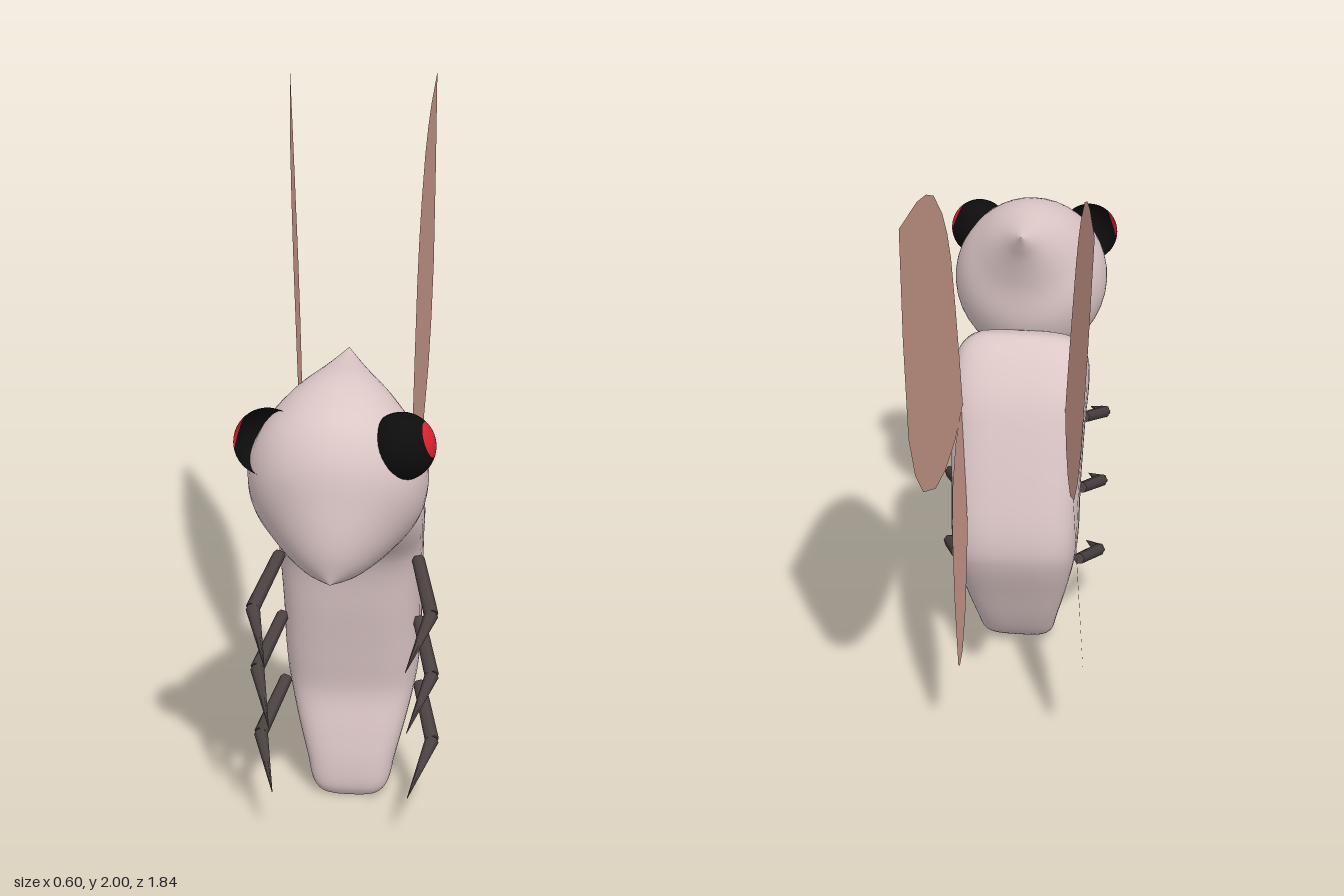
import * as THREE from 'three';

const MID = 0.018; // x of the body's plane of symmetry

const paint = (name, color, extra = {}) =>
  Object.assign(new THREE.MeshStandardMaterial({ color, ...extra }), { name });

function part(name, geometry, material) {
  const mesh = new THREE.Mesh(geometry, material);
  mesh.name = name;
  return mesh;
}

// Smooth skin over stations [frontZ, frontY, backZ, backY, halfWidth];
// power below 1 squares off the cross-section
function loft(stations, power, rings, sides) {
  const front = new THREE.CatmullRomCurve3(stations.map(s => new THREE.Vector3(s[4], s[1], s[0])));
  const back = new THREE.CatmullRomCurve3(stations.map(s => new THREE.Vector3(0, s[3], s[2])));
  const bend = v => Math.sign(v) * Math.abs(v) ** power;
  const positions = [], index = [];
  for (let i = 0; i <= rings; i++) {
    const f = front.getPoint(i / rings), b = back.getPoint(i / rings);
    for (let j = 0; j < sides; j++) {
      const a = (j / sides) * Math.PI * 2;
      const k = 0.5 + bend(Math.sin(a)) / 2;
      positions.push(
        MID + Math.max(f.x, 0) * bend(Math.cos(a)),
        b.y + (f.y - b.y) * k,
        b.z + (f.z - b.z) * k);
      if (i < rings) {
        const p = i * sides + j, q = i * sides + (j + 1) % sides;
        index.push(p, p + sides, q, q, p + sides, q + sides);
      }
    }
  }
  const geometry = new THREE.BufferGeometry();
  geometry.setAttribute('position', new THREE.Float32BufferAttribute(positions, 3));
  geometry.setIndex(index);
  geometry.computeVertexNormals();
  return geometry;
}

// Flat wing from a [z, y] outline, leaning sideways by a along z and b along y
function wingGeometry(outline, x, a, b) {
  const shape = new THREE.Shape(outline.map(p => new THREE.Vector2(p[0], p[1])));
  const geometry = new THREE.ShapeGeometry(shape);
  const pos = geometry.attributes.position;
  for (let i = 0; i < pos.count; i++) {
    const z = pos.getX(i), y = pos.getY(i);
    pos.setXYZ(i, x - a * (0.2 - z) - b * (y - 0.92), y, z);
  }
  geometry.computeVertexNormals();
  return geometry;
}

// Tapered rod from one point to another
function rod(name, from, to, r0, r1, material) {
  const along = to.clone().sub(from);
  const mesh = part(name, new THREE.CylinderGeometry(r1, r0, along.length(), 6), material);
  mesh.position.copy(from).addScaledVector(along, 0.5);
  mesh.quaternion.setFromUnitVectors(new THREE.Vector3(0, 1, 0), along.normalize());
  return mesh;
}

export function createModel() {
  const skin = paint('pale pink skin', 0xdcc6c6);
  const wing = paint('dusty rose wing', 0xd09d8f, { side: THREE.DoubleSide });
  const leg = paint('dark brown leg', 0x4c4242);
  const black = paint('black eye', 0x0d0d0d);
  const red = paint('red pupil', 0xe0202f);

  const model = new THREE.Group();
  model.name = 'insect';

  // Body, from tail to neck
  model.add(part('body', loft([
    [0.35, 0.004, 0.33, 0.004, 0],
    [0.365, 0.008, 0.29, 0.012, 0.085],
    [0.38, 0.04, 0.24, 0.045, 0.115],
    [0.38, 0.12, 0.19, 0.12, 0.135],
    [0.365, 0.22, 0.13, 0.25, 0.165],
    [0.345, 0.335, 0.06, 0.42, 0.195],
    [0.36, 0.45, 0.055, 0.5, 0.205],
    [0.39, 0.62, 0.075, 0.61, 0.207],
    [0.425, 0.8, 0.16, 0.875, 0.215],
    [0.5, 0.9, 0.2, 0.96, 0.22],
    [0.535, 0.955, 0.255, 1.03, 0.215],
    [0.525, 1.01, 0.305, 1.075, 0.195],
    [0.48, 1.06, 0.36, 1.1, 0.14],
    [0.425, 1.088, 0.405, 1.094, 0],
  ], 0.6, 52, 40), skin));

  // Head: a lemon shape; rows are distance from the rear tip, radius, lift
  const headRows = [
    [0.743, 0, 0], [0.69, 0.085, 0], [0.6, 0.172, 0], [0.5, 0.24, 0.006], [0.4, 0.255, 0.015],
    [0.3, 0.222, 0.022], [0.2, 0.15, 0.04], [0.1, 0.07, 0.025], [0.05, 0.034, 0.012], [0, 0, 0],
  ];
  model.add(part('head', loft(headRows.map(([t, r, lift]) => {
    const z = 0.357 + 0.74 * t, y = 1.443 - 0.675 * t;
    const f = lift + r, b = lift - r;
    return [z + 0.675 * f, y + 0.74 * f, z + 0.675 * b, y + 0.74 * b, r * 0.98];
  }), 1, 45, 40), skin));

  // Eyes: a black ball whose outer cap is the red pupil
  const cap = 0.56;
  const turn = new THREE.Quaternion().setFromUnitVectors(
    new THREE.Vector3(0, 1, 0), new THREE.Vector3(0.087, 0.03, 0.013).normalize());
  const ballPiece = (start, length, side) => {
    const g = new THREE.SphereGeometry(0.093, 32, 16, 0, Math.PI * 2, start, length);
    g.applyQuaternion(turn).translate(0.182, 1.297, 0.768);
    // the mirrored eye is a hollow cup that shows its inner face
    return g.scale(side, 1, 1).translate(MID, 0, 0);
  };
  for (const [name, side] of [['left', 1], ['right', -1]]) {
    model.add(part(name + 'Eye', ballPiece(cap, Math.PI - cap, side), black));
    model.add(part(name + 'Pupil', ballPiece(0, cap, side), red));
  }

  // Wings
  const upper = [
    [0.193, 0.93], [0.13, 1.13], [0.06, 1.33], [-0.02, 1.53], [-0.09, 1.64], [-0.177, 1.735],
    [-0.336, 1.855], [-0.47, 1.912], [-0.627, 1.955], [-0.918, 2.0], [-0.902, 1.687],
    [-0.855, 1.369], [-0.76, 1.204], [-0.627, 1.077], [-0.4, 0.96], [-0.204, 0.912], [0.008, 0.897],
  ];
  const lower = [
    [0.195, 0.92], [0.11, 0.915], [-0.02, 0.9], [-0.167, 0.838], [-0.294, 0.705], [-0.373, 0.562],
    [-0.44, 0.37], [-0.41, 0.348], [-0.325, 0.345], [-0.177, 0.398], [-0.07, 0.467],
    [0.06, 0.56], [0.12, 0.7],
  ];
  model.add(
    part('leftUpperWing', wingGeometry(upper, 0.185, 0, 0), wing),
    part('rightUpperWing', wingGeometry(upper, -0.14, 0.114, 0.035), wing),
    part('leftLowerWing', wingGeometry(lower, 0.19, 0.04, -0.08), wing),
    part('rightLowerWing', wingGeometry(lower, -0.15, 0.12, -0.06), wing));

  // Three pairs of jointed legs
  const rows = [['front', 0, 0], ['middle', -0.225, -0.07], ['rear', -0.465, -0.125]];
  for (const [row, dy, dz] of rows) {
    for (const side of [1, -1]) {
      const at = (x, y, z) => new THREE.Vector3(MID + side * x, y + dy, z + dz);
      const hip = at(0.205, 0.806, 0.385), knee = at(0.257, 0.722, 0.59), tip = at(0.198, 0.634, 0.79);
      const group = new THREE.Group();
      group.name = row + (side > 0 ? 'LeftLeg' : 'RightLeg');
      group.add(
        rod('thigh', hip, knee, 0.019, 0.021, leg),
        rod('shin', knee, tip, 0.021, 0.001, leg));
      model.add(group);
    }
  }
  return model;
}
